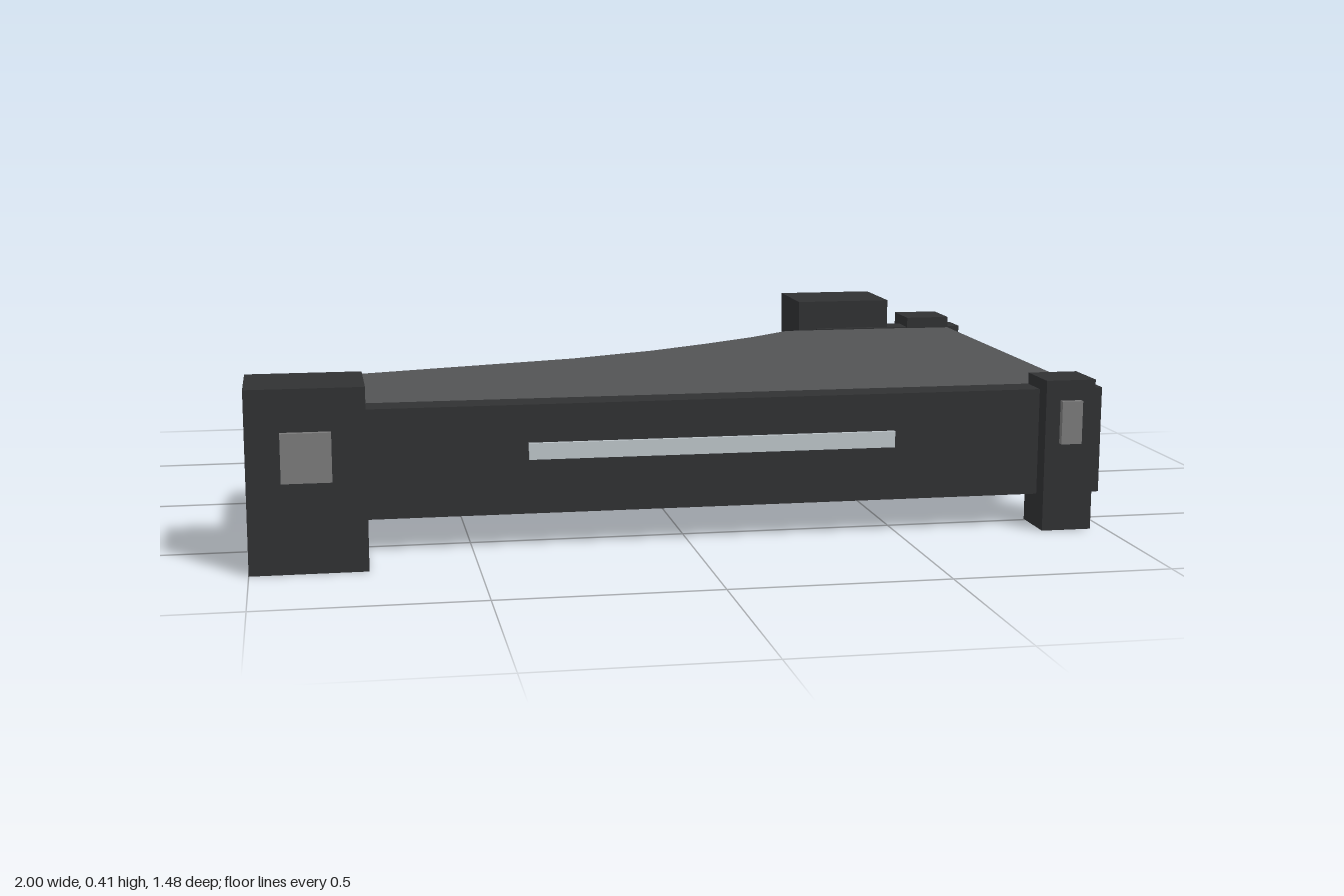
import * as THREE from 'three';

const material = (color) => new THREE.MeshStandardMaterial({ color });

export function createModel() {
  const model = new THREE.Group();
  const dark = material(0x303133);
  const deckGrey = material(0x525355);
  const lensGrey = material(0x7a7a7a);
  const stripGrey = material(0xbcc4c8);

  // Box given by its limits on each axis
  function box(name, mat, [x0, x1], [y0, y1], [z0, z1], parent = model) {
    const mesh = new THREE.Mesh(new THREE.BoxGeometry(x1 - x0, y1 - y0, z1 - z0), mat);
    mesh.position.set((x0 + x1) / 2, (y0 + y1) / 2, (z0 + z1) / 2);
    mesh.name = name;
    parent.add(mesh);
  }

  // Post with a small raised plate on its outer face; side is +1 front, -1 back
  function post(name, x, width, height, inner, outer, plateWidth, plateY, side) {
    const group = new THREE.Group();
    group.name = name;
    const span = (a, b) => (side > 0 ? [a, b] : [-b, -a]);
    box('postBlock', dark, [x - width / 2, x + width / 2], [0, height], span(inner, outer), group);
    box('postPlate', lensGrey, [x - plateWidth / 2, x + plateWidth / 2], plateY,
      span(outer - 0.01, outer + 0.015), group);
    model.add(group);
  }

  // Deck: flat slab with a concave back edge, outlined in x and z
  const outline = [
    [-0.91, 0.49], [-0.91, 0.2], [-0.895, 0.1], [-0.54, 0], [-0.18, -0.1], [0.05, -0.2],
    [0.22, -0.3], [0.37, -0.4], [0.49, -0.5], [0.965, -0.5], [0.965, 0.49],
  ];
  const shape = new THREE.Shape(outline.map(([x, z]) => new THREE.Vector2(x, -z)));
  const deckGeometry = new THREE.ExtrudeGeometry(shape, { depth: 0.12, bevelEnabled: false });
  deckGeometry.rotateX(-Math.PI / 2);
  const deck = new THREE.Mesh(deckGeometry, deckGrey);
  deck.name = 'deck';
  deck.position.y = 0.21;
  model.add(deck);

  // Side rails and light strip
  box('frontRail', dark, [-0.91, 1], [0.08, 0.333], [0.49, 0.57]);
  box('backRail', dark, [0.58, 1], [0.08, 0.333], [-0.575, -0.5]);
  box('lightStrip', stripGrey, [-0.37, 0.49], [0.207, 0.245], [0.565, 0.58]);

  // Box slung under the wide end
  box('underBox', dark, [0.655, 0.932], [0.025, 0.2], [-0.23, 0.23]);

  // Large and small corner posts
  post('largeFrontPost', -0.87, 0.26, 0.41, 0.51, 0.722, 0.11, [0.205, 0.315], 1);
  post('largeBackPost', 0.66, 0.26, 0.41, 0.513, 0.725, 0.11, [0.205, 0.315], -1);
  post('smallFrontPost', 0.905, 0.12, 0.36, 0.492, 0.615, 0.05, [0.21, 0.312], 1);
  post('smallBackPost', 0.905, 0.12, 0.36, 0.495, 0.618, 0.05, [0.21, 0.312], -1);

  return model;
}
